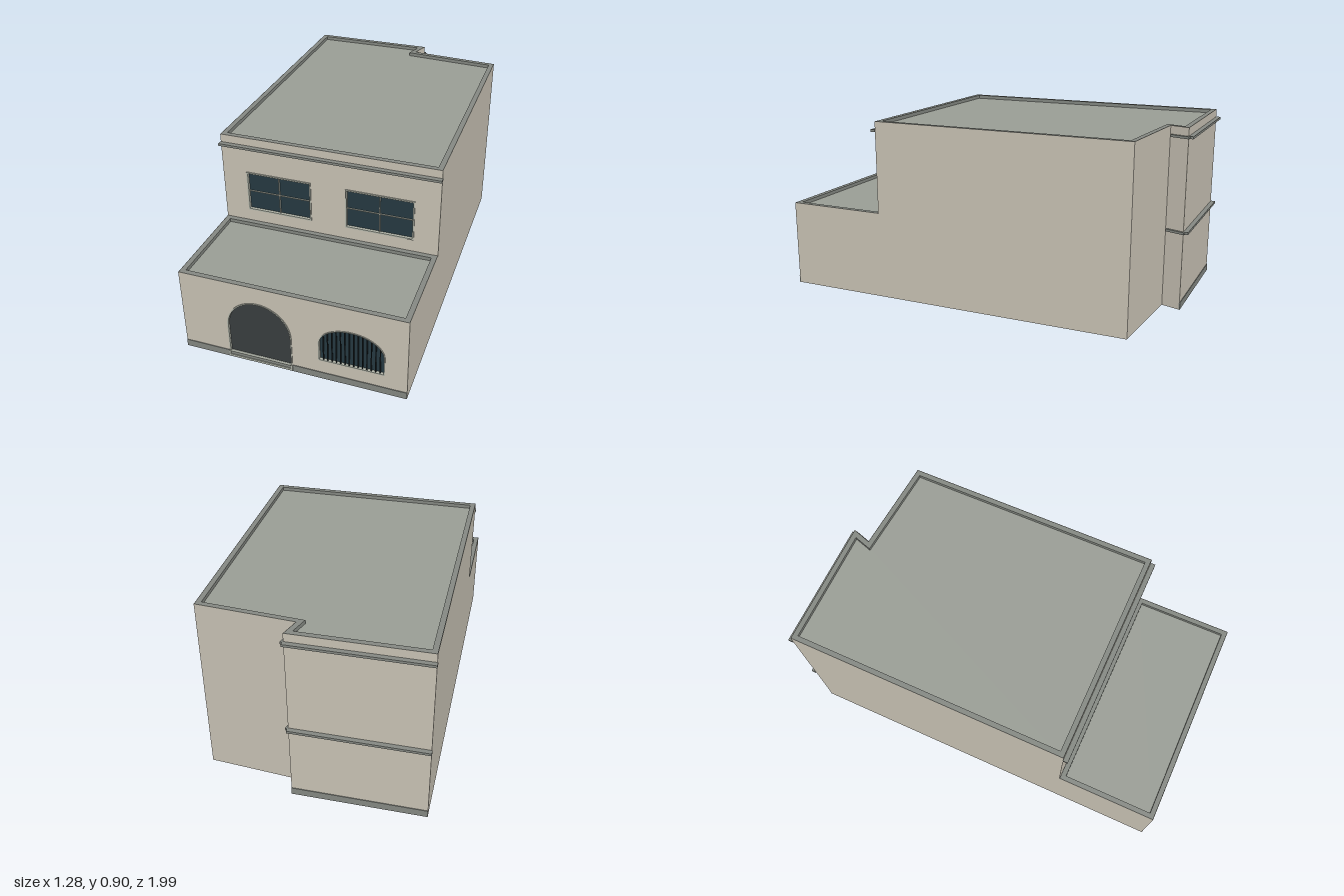
import * as THREE from 'three';

const mat = (color) => new THREE.MeshStandardMaterial({ color, side: THREE.DoubleSide, roughness: 0.9 });
const MAT = {
  wall: mat(0xcac4b6), roof: mat(0x9a9e96), trim: mat(0x858983),
  glass: mat(0x263a42), door: mat(0x3a3e40), frame: mat(0xb4b8ac), bar: mat(0x1a2226),
};
const LOW = 0.437, HIGH = 0.897, LIP = 0.018;

// Footprint corners as [x, z], running counterclockwise from the front
const A = [-0.46, 0.993], B = [0.635, 0.897], C = [0.45, -0.885];
const D = [-0.02, -0.88], E = [0, -0.975], F = [-0.635, -0.92];
const lerp = (p, q, t) => [p[0] + (q[0] - p[0]) * t, p[1] + (q[1] - p[1]) * t];
const G = lerp(A, F, 0.2635), H = lerp(B, C, 0.283);

const length = (p, q) => Math.hypot(q[0] - p[0], q[1] - p[1]);

function add(parent, name, geometry, material, x = 0, y = 0, z = 0) {
  const mesh = new THREE.Mesh(geometry, material);
  mesh.name = name;
  mesh.position.set(x, y, z);
  parent.add(mesh);
  return mesh;
}

const box = (parent, name, w, h, d, material, x, y, z) =>
  add(parent, name, new THREE.BoxGeometry(w, h, d), material, x, y, z);

// Group whose x runs along a wall and whose z points outwards
function frameOf(parent, name, p, q) {
  const g = new THREE.Group();
  g.name = name;
  g.position.set((p[0] + q[0]) / 2, 0, (p[1] + q[1]) / 2);
  g.rotation.y = Math.atan2(p[1] - q[1], q[0] - p[0]);
  parent.add(g);
  return g;
}

function rectShape(x0, x1, y0, y1) {
  return new THREE.Shape([[x0, y0], [x1, y0], [x1, y1], [x0, y1]].map((p) => new THREE.Vector2(...p)));
}

// Opening with an elliptical head
function archShape(x, r, y0, spring, rise) {
  const s = new THREE.Shape();
  s.moveTo(x - r, y0);
  s.lineTo(x + r, y0);
  s.lineTo(x + r, spring);
  s.absellipse(x, spring, r, rise, 0, Math.PI, false);
  s.closePath();
  return s;
}

function wall(parent, name, p, q, y0, y1, holes = []) {
  const g = frameOf(parent, name, p, q), l = length(p, q) / 2;
  const s = rectShape(-l, l, y0, y1);
  s.holes.push(...holes);
  add(g, name + 'Face', new THREE.ShapeGeometry(s, 24), MAT.wall);
  return g;
}

// Surround between an outer and an inner outline
function surround(parent, name, outer, inner, z, depth) {
  outer.holes.push(inner);
  add(parent, name, new THREE.ExtrudeGeometry(outer, { depth, bevelEnabled: false, curveSegments: 24 }), MAT.frame, 0, 0, z);
}

// Polygon moved inwards by d
function inset(pts, d) {
  return pts.map((p, i) => {
    const a = pts.at(i - 1), b = pts[(i + 1) % pts.length];
    const l1 = length(a, p), l2 = length(p, b);
    const n1 = [(p[1] - a[1]) / l1, -(p[0] - a[0]) / l1];
    const n2 = [(b[1] - p[1]) / l2, -(b[0] - p[0]) / l2];
    const k = d / (1 + n1[0] * n2[0] + n1[1] * n2[1]);
    return [p[0] + (n1[0] + n2[0]) * k, p[1] + (n1[1] + n2[1]) * k];
  });
}

// Flat roof slab with a low parapet kerb
function roof(parent, name, pts, top) {
  const shape = (d) => new THREE.Shape(inset(pts, d).map(([x, z]) => new THREE.Vector2(x, -z)));
  const slab = new THREE.ShapeGeometry(shape(0.001)).rotateX(-Math.PI / 2);
  add(parent, name + 'Slab', slab, MAT.roof, 0, top - LIP, 0);
  const ring = shape(0.001);
  ring.holes.push(shape(0.026));
  const kerb = new THREE.ExtrudeGeometry(ring, { depth: LIP, bevelEnabled: false }).rotateX(-Math.PI / 2);
  add(parent, name + 'Parapet', kerb, MAT.trim, 0, top - LIP, 0);
}

export function createModel() {
  const house = new THREE.Group();
  house.name = 'house';

  // Ground floor front with arched door and arched window
  const doorX = -0.161, winX = 0.287;
  const door = (d = 0) => archShape(doorX, 0.156 + d, 0.035, 0.191, 0.156 + d);
  const arch = (d = 0) => archShape(winX, 0.155 + d, 0.11 - d, 0.205, 0.103 + d);
  const front = wall(house, 'lowerFrontWall', A, B, 0, LOW, [door(), arch()]);
  add(front, 'door', new THREE.ShapeGeometry(door(), 24), MAT.door, 0, 0, -0.008);
  add(front, 'archedWindowGlass', new THREE.ShapeGeometry(arch(), 24), MAT.glass, 0, 0, -0.012);
  surround(front, 'doorSurround', door(0.004), door(-0.002), -0.01, 0.014);
  surround(front, 'archedWindowSurround', arch(0.003), arch(-0.002), -0.013, 0.016);
  for (let i = 1; i < 15; i++) {
    const u = i / 7.5 - 1;
    const top = 0.205 + 0.103 * Math.sqrt(1 - u * u);
    box(front, 'windowBar', 0.005, top - 0.11, 0.005, MAT.bar, winX + u * 0.155, (top + 0.11) / 2, -0.004);
  }
  box(front, 'frontPlinth', length(A, B), 0.036, 0.006, MAT.trim, 0, 0.018, 0);
  surround(front, 'doorstepEdge', rectShape(doorX - 0.161, doorX + 0.161, 0.008, 0.036),
    rectShape(doorX - 0.154, doorX + 0.154, 0.016, 0.0355), 0, 0.007);

  // Upper front with two four-pane windows
  const panes = [[-0.415, -0.095], [0.093, 0.419]];
  const y0 = 0.507, y1 = 0.705;
  const upper = wall(house, 'upperFrontWall', G, H, LOW - LIP, HIGH, panes.map(([a, b]) => rectShape(a, b, y0, y1)));
  for (const [a, b] of panes) {
    const x = (a + b) / 2, y = (y0 + y1) / 2;
    add(upper, 'upperWindowGlass', new THREE.ShapeGeometry(rectShape(a, b, y0, y1)), MAT.glass, 0, 0, -0.01);
    surround(upper, 'upperWindowFrame', rectShape(a - 0.007, b + 0.007, y0 - 0.007, y1 + 0.007),
      rectShape(a, b, y0, y1), -0.012, 0.017);
    box(upper, 'windowMullion', 0.005, y1 - y0, 0.006, MAT.frame, x, y, -0.006);
    box(upper, 'windowTransom', b - a, 0.004, 0.006, MAT.frame, x, y, -0.006);
  }
  box(upper, 'frontCornice', length(G, H) + 0.006, 0.012, 0.024, MAT.trim, 0, 0.851, 0.012);

  // Side and back walls
  wall(house, 'leftLowerWall', B, H, 0, LOW);
  wall(house, 'leftWall', H, C, 0, HIGH);
  wall(house, 'backWall', C, D, 0, HIGH);
  const notch = wall(house, 'backNotchWall', D, E, 0, HIGH);
  const back = wall(house, 'backWingWall', E, F, 0, HIGH);
  wall(house, 'rightWall', F, G, 0, HIGH);
  wall(house, 'rightLowerWall', G, A, 0, LOW);

  // Bands around the back wing
  for (const y of [0.851, 0.39]) {
    box(back, 'backCornice', length(E, F) + 0.006, 0.012, 0.023, MAT.trim, 0, y, 0.0115);
    box(notch, 'notchCornice', length(D, E), 0.012, 0.012, MAT.trim, 0.008, y, 0.006);
  }
  box(back, 'backPlinth', length(E, F), 0.036, 0.006, MAT.trim, 0, 0.018, 0);

  // Plinths set just inside the side walls
  for (const [p, q] of [[B, C], [C, D], [F, A]]) {
    const g = frameOf(house, 'sidePlinth', p, q);
    box(g, 'sidePlinthBand', length(p, q) - 0.01, 0.036, 0.01, MAT.trim, 0, 0.018, -0.006);
  }

  // Roofs
  roof(house, 'terraceRoof', [A, B, H, G], LOW);
  roof(house, 'mainRoof', [G, H, C, D, E, F], HIGH);
  return house;
}
